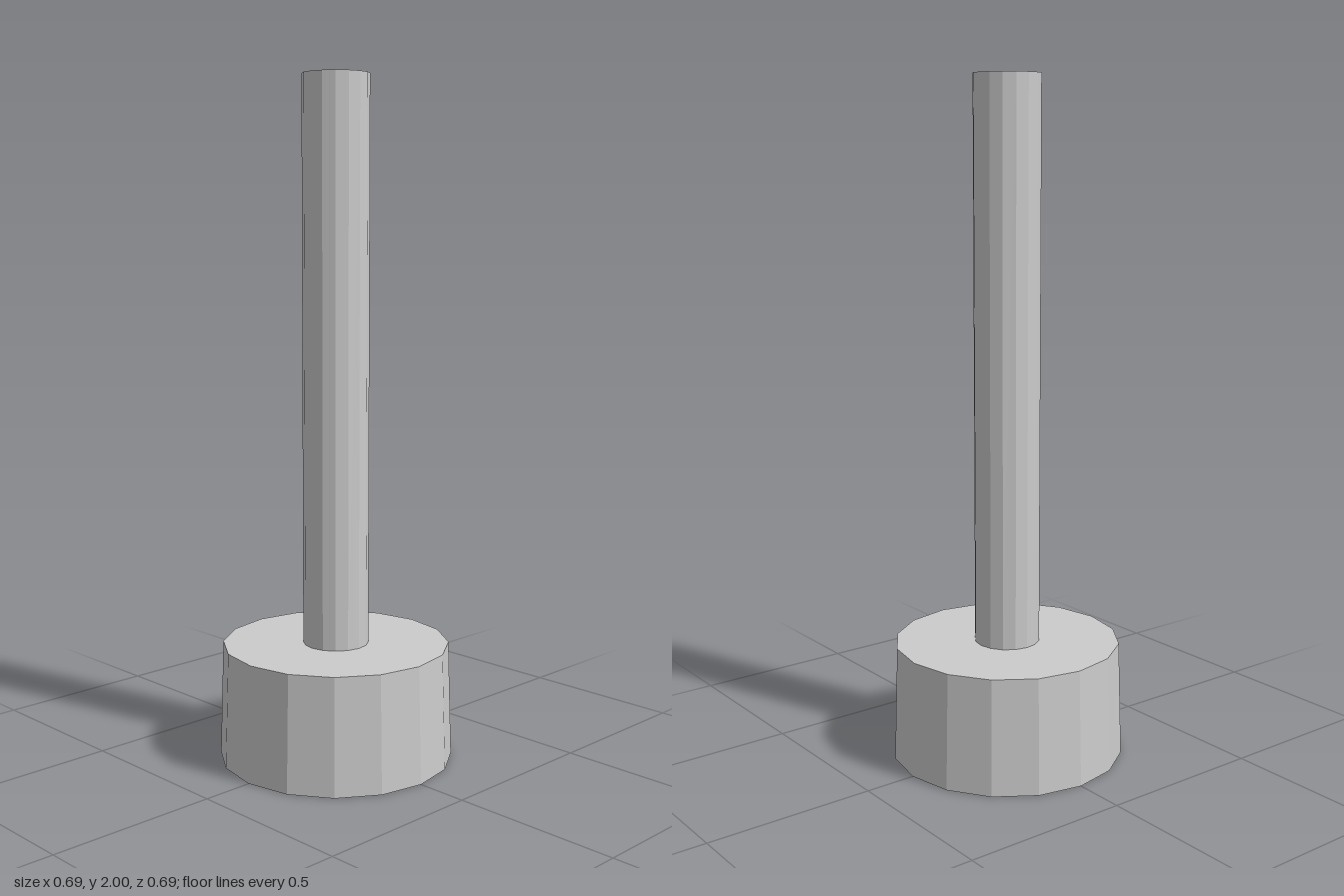
import * as THREE from 'three';

const SIDES = 16;

// Upright faceted cylinder spanning two heights
function column(name, topRadius, bottomRadius, y0, y1, material) {
  const mesh = new THREE.Mesh(
    new THREE.CylinderGeometry(topRadius, bottomRadius, y1 - y0, SIDES),
    material
  );
  mesh.name = name;
  mesh.position.y = (y0 + y1) / 2;
  return mesh;
}

export function createModel() {
  const material = new THREE.MeshStandardMaterial({ color: 0xcccccc, flatShading: true });
  const model = new THREE.Group();
  model.name = 'postOnBase';

  // Heavy, slightly tapered base
  model.add(column('base', 0.336, 0.347, 0, 0.345, material));

  // Straight post standing on the base
  model.add(column('post', 0.097, 0.097, 0.345, 2, material));

  return model;
}
